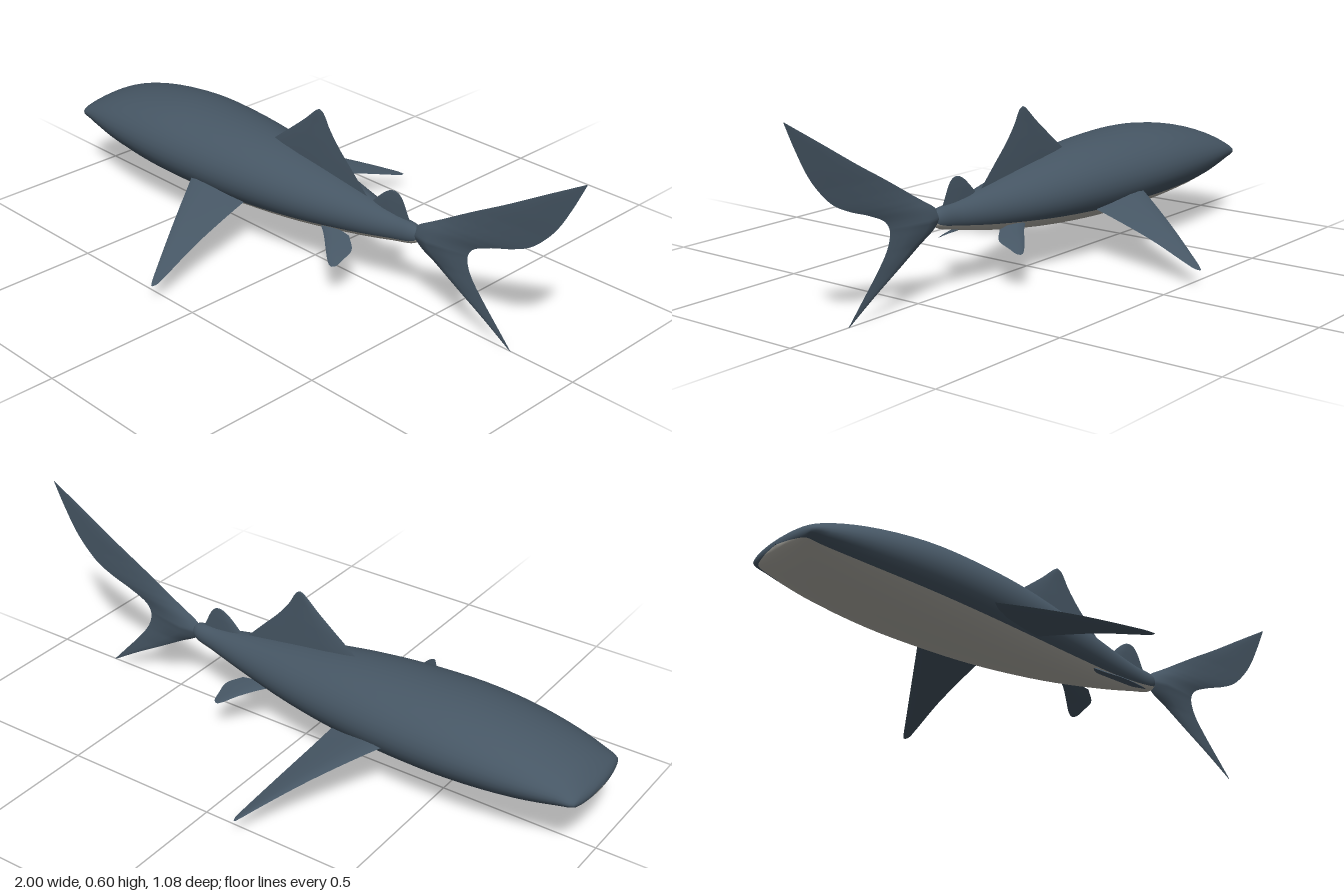
import * as THREE from 'three';

const skin = new THREE.MeshStandardMaterial({ color: 0x465664, side: THREE.DoubleSide });
skin.name = 'slateSkin';
const pale = new THREE.MeshStandardMaterial({ color: 0xb4b2aa, side: THREE.DoubleSide });
pale.name = 'paleBelly';

const V = (x, y, z = 0) => new THREE.Vector3(x, y, z);

function geometryFrom(positions, index) {
  const g = new THREE.BufferGeometry();
  g.setAttribute('position', new THREE.Float32BufferAttribute(positions, 3));
  g.setIndex(index);
  g.computeVertexNormals();
  return g;
}

// Body: elliptical rings lofted along x; the lower arc uses the belly colour
function makeBody() {
  // x, top, bottom, half width
  const sections = [
    [-1, 0.218, 0.214, 0.002], [-0.995, 0.232, 0.203, 0.07], [-0.98, 0.248, 0.19, 0.135],
    [-0.93, 0.28, 0.168, 0.15], [-0.8, 0.322, 0.137, 0.175], [-0.6, 0.353, 0.114, 0.19],
    [-0.4, 0.356, 0.107, 0.182], [-0.2, 0.345, 0.11, 0.158], [0, 0.318, 0.126, 0.12],
    [0.2, 0.285, 0.155, 0.07], [0.34, 0.265, 0.184, 0.036], [0.42, 0.257, 0.206, 0.02],
    [0.435, 0.235, 0.231, 0.002],
  ];
  const spine = new THREE.CatmullRomCurve3(sections.map(([x, t, b]) => V(x, (t + b) / 2, (t - b) / 2)));
  const girth = new THREE.CatmullRomCurve3(sections.map(([x, , , w]) => V(x, w)));
  const rows = (sections.length - 1) * 4, sides = 40;
  const pos = [], back = [], belly = [];
  for (let i = 0; i <= rows; i++) {
    const s = spine.getPoint(i / rows), w = girth.getPoint(i / rows).y;
    for (let j = 0; j < sides; j++) {
      const a = (j / sides) * Math.PI * 2;
      pos.push(s.x, s.y + s.z * Math.sin(a), w * Math.cos(a));
    }
  }
  for (let i = 0; i < rows; i++) {
    for (let j = 0; j < sides; j++) {
      const k = (j + 1) % sides;
      const a = i * sides + j, b = a + sides, c = i * sides + k, d = c + sides;
      (j >= 24 && j < 36 ? belly : back).push(a, b, d, a, d, c);
    }
  }
  const g = geometryFrom(pos, [...back, ...belly]);
  g.addGroup(0, back.length, 0);
  g.addGroup(back.length, belly.length, 1);
  const mesh = new THREE.Mesh(g, [skin, pale]);
  mesh.name = 'body';
  return mesh;
}

// Fin: each section is [leading point, trailing point, half thickness], root to tip.
// Two curved sheets meet in sharp leading and trailing edges.
function makeFin(name, sections) {
  const profile = [[0, 0], [0.12, 0.7], [0.35, 1], [0.7, 0.55], [1, 0]];
  const lead = new THREE.CatmullRomCurve3(sections.map((s) => s[0]));
  const trail = new THREE.CatmullRomCurve3(sections.map((s) => s[1]));
  const last = sections.length - 1, rows = last * 5, cols = profile.length;
  const chord = sections[0][1].clone().sub(sections[0][0]);
  const span = sections[last][0].clone().sub(sections[0][0]);
  const normal = chord.cross(span).normalize();
  const pos = [], index = [];
  for (const side of [1, -1]) {
    const start = pos.length / 3;
    for (let i = 0; i <= rows; i++) {
      const f = (i / rows) * last, n = Math.min(Math.floor(f), last - 1);
      const thick = THREE.MathUtils.lerp(sections[n][2], sections[n + 1][2], f - n);
      const a = lead.getPoint(i / rows), b = trail.getPoint(i / rows);
      for (const [u, h] of profile) {
        pos.push(...a.clone().lerp(b, u).addScaledVector(normal, side * h * thick).toArray());
      }
    }
    for (let i = 0; i < rows; i++) {
      for (let j = 0; j < cols - 1; j++) {
        const a = start + i * cols + j, b = a + 1, c = a + cols, d = c + 1;
        if (side > 0) index.push(a, b, d, a, d, c);
        else index.push(a, d, b, a, c, d);
      }
    }
  }
  const mesh = new THREE.Mesh(geometryFrom(pos, index), skin);
  mesh.name = name;
  return mesh;
}

// Upright fin on the centre plane from rows of [y, leading x, trailing x, half thickness]
const uprightFin = (name, rows) =>
  makeFin(name, rows.map(([y, x0, x1, t]) => [V(x0, y), V(x1, y), t]));

export function createModel() {
  const group = new THREE.Group();
  group.name = 'shark';
  group.add(makeBody());

  group.add(uprightFin('dorsalFin', [
    [0.28, -0.25, 0.22, 0.007], [0.345, -0.175, 0.155, 0.007], [0.4, -0.105, 0.1, 0.006],
    [0.45, -0.043, 0.06, 0.004], [0.48, -0.01, 0.043, 0.003], [0.494, 0.007, 0.032, 0.002],
    [0.499, 0.017, 0.021, 0],
  ]));
  group.add(uprightFin('secondDorsalFin', [
    [0.245, 0.21, 0.4, 0.007], [0.28, 0.245, 0.382, 0.006], [0.305, 0.27, 0.37, 0.005],
    [0.325, 0.293, 0.358, 0.003], [0.336, 0.312, 0.345, 0.002], [0.34, 0.326, 0.332, 0],
  ]));

  // Tail fin, lower tip to upper tip
  group.add(uprightFin('tailFin', [
    [0, 0.778, 0.782, 0], [0.06, 0.68, 0.727, 0.002], [0.118, 0.578, 0.674, 0.003],
    [0.17, 0.488, 0.632, 0.009], [0.205, 0.425, 0.615, 0.018], [0.235, 0.4, 0.612, 0.024],
    [0.262, 0.42, 0.628, 0.019], [0.294, 0.474, 0.695, 0.012], [0.318, 0.516, 0.765, 0.008],
    [0.348, 0.567, 0.828, 0.005], [0.39, 0.64, 0.876, 0.003], [0.44, 0.73, 0.917, 0.003],
    [0.52, 0.866, 0.962, 0.002], [0.595, 0.995, 0.998, 0],
  ]));

  // Paired fins
  for (const [label, m] of [['left', 1], ['right', -1]]) {
    group.add(makeFin(label + 'PectoralFin', [
      [V(-0.41, 0.2, m * 0.13), V(-0.183, 0.162, m * 0.13), 0.012],
      [V(-0.375, 0.188, m * 0.18), V(-0.178, 0.15, m * 0.18), 0.011],
      [V(-0.262, 0.133, m * 0.35), V(-0.155, 0.107, m * 0.35), 0.007],
      [V(-0.172, 0.076, m * 0.488), V(-0.131, 0.064, m * 0.488), 0.003],
      [V(-0.148, 0.059, m * 0.525), V(-0.126, 0.053, m * 0.525), 0.002],
      [V(-0.136, 0.051, m * 0.54), V(-0.13, 0.05, m * 0.54), 0],
    ]));
    group.add(makeFin(label + 'PelvicFin', [
      [V(0.07, 0.176, m * 0.055), V(0.2, 0.164, m * 0.055), 0.007],
      [V(0.125, 0.157, m * 0.088), V(0.243, 0.143, m * 0.088), 0.006],
      [V(0.172, 0.138, m * 0.125), V(0.243, 0.126, m * 0.125), 0.004],
      [V(0.205, 0.12, m * 0.15), V(0.24, 0.114, m * 0.15), 0.002],
      [V(0.22, 0.113, m * 0.158), V(0.23, 0.111, m * 0.158), 0],
    ]));
  }
  return group;
}
